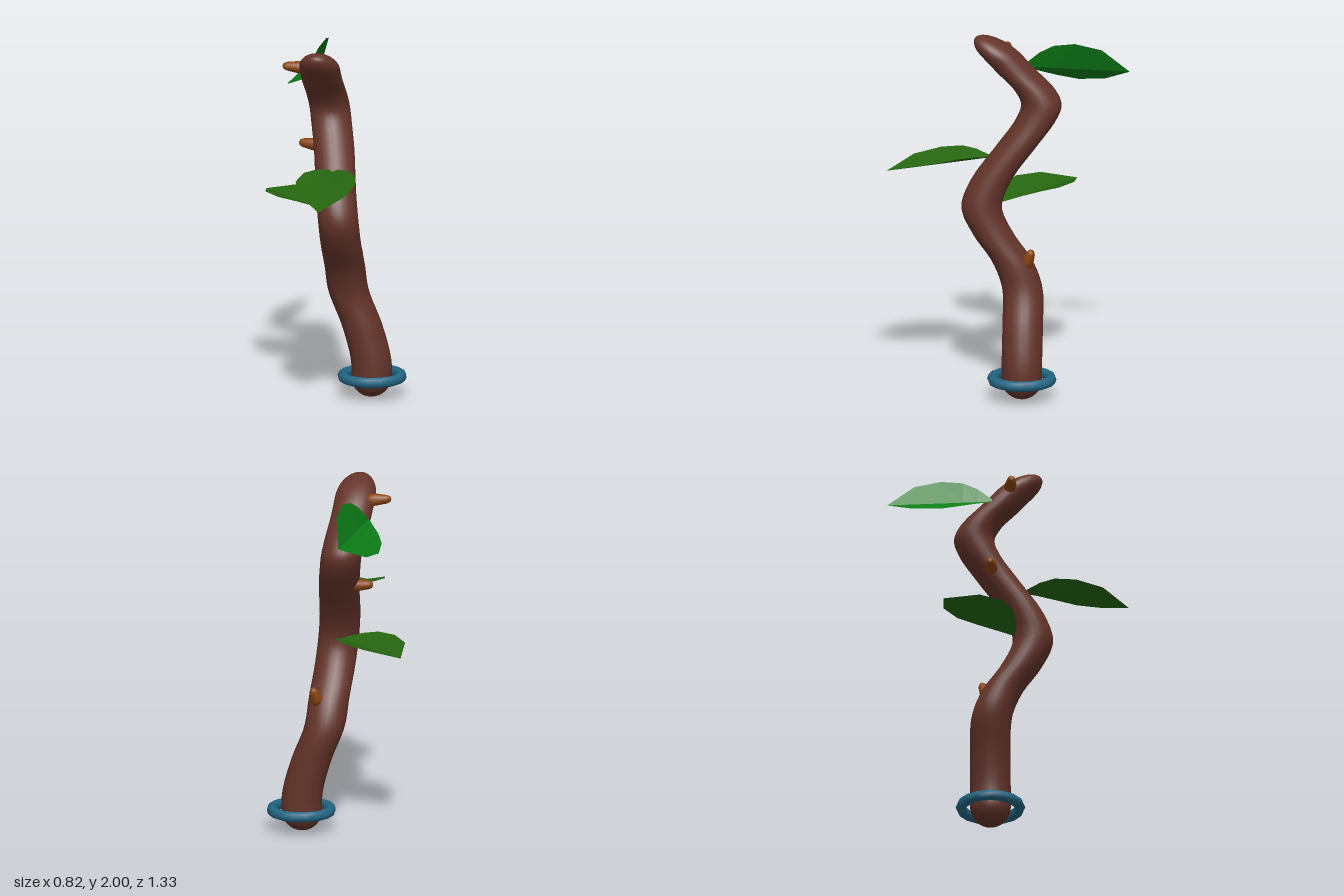
import * as THREE from 'three';
import { mergeVertices } from 'three/addons/utils/BufferGeometryUtils.js';

const V = (x, y, z) => new THREE.Vector3(x, y, z);

// Merge seams and smooth the normals
function smooth(geo) {
  geo.deleteAttribute('normal');
  geo.deleteAttribute('uv');
  const merged = mergeVertices(geo, 1e-5);
  merged.computeVertexNormals();
  return merged;
}

// Upright round stick with domed ends, its level rings shifted along a winding centre line
function stemGeometry(radius) {
  const curve = new THREE.CatmullRomCurve3([
    V(0.21, 0, -0.1), V(0.21, 0.2, -0.1), V(0.16, 0.4, -0.1), V(0.085, 0.6, -0.092),
    V(0.073, 0.75, -0.035), V(0.066, 0.9, 0.07), V(0.06, 1.05, 0.135), V(0.04, 1.2, 0.085),
    V(0.01, 1.4, -0.06), V(-0.018, 1.53, -0.155), V(-0.034, 1.62, -0.188), V(-0.045, 1.7, -0.15),
    V(-0.055, 1.8, -0.05), V(-0.058, 1.9, 0.045), V(-0.06, 2, 0.14),
  ]);
  const rows = 80, centres = [], profile = [];
  for (let i = 0; i <= rows; i++) {
    const c = curve.getPoint(0.5 - 0.5 * Math.cos((Math.PI * i) / rows));
    const end = Math.max(0, radius - Math.min(c.y, 2 - c.y));
    centres.push(c);
    profile.push(new THREE.Vector2(Math.sqrt(Math.max(0, radius * radius - end * end)), c.y));
  }
  const geo = new THREE.LatheGeometry(profile, 24);
  const pos = geo.attributes.position;
  for (let i = 0; i < pos.count; i++) {
    const c = centres[i % (rows + 1)];
    pos.setX(i, pos.getX(i) + c.x);
    pos.setZ(i, pos.getZ(i) + c.z);
  }
  return smooth(geo);
}

// Leaf folded along its midrib; rows hold distance from base, half width, edge lift
const leafRows = [[0, 0, 0], [0.1, 0.09, 0.035], [0.18, 0.14, 0.05], [0.3, 0.168, 0.05], [0.45, 0.135, 0.04], [0.6, 0, 0]];
function leafGeometry(base, tip, up) {
  const along = tip.clone().sub(base);
  const scale = along.length() / 0.6;
  along.normalize();
  const side = along.clone().cross(up).normalize();
  const lift = side.clone().cross(along);
  const at = ([l, w, h], s) => base.clone()
    .addScaledVector(along, l * scale).addScaledVector(side, w * s).addScaledVector(lift, h * Math.abs(s));
  const points = [];
  for (let i = 0; i < leafRows.length - 1; i++) {
    const a = leafRows[i], b = leafRows[i + 1];
    const ma = at(a, 0), mb = at(b, 0), ra = at(a, 1), rb = at(b, 1), la = at(a, -1), lb = at(b, -1);
    if (b[1] > 0) points.push(ma, rb, mb, ma, mb, lb);
    if (a[1] > 0) {
      if (b[1] > 0) points.push(ma, ra, rb, ma, lb, la);
      else points.push(ma, ra, mb, ma, mb, la);
    }
  }
  const geo = new THREE.BufferGeometry().setFromPoints(points);
  geo.computeVertexNormals();
  return geo;
}

// Tapered stub with a rounded tip
function thornGeometry(length) {
  const profile = [[0, 0], [0.036, 0], [0.034, 0.3], [0.024, 0.8], [0.016, 0.95], [0, 1]]
    .map(([r, y]) => new THREE.Vector2(r, y * length));
  return smooth(new THREE.LatheGeometry(profile, 10));
}

export function createModel() {
  const material = (name, color, options = {}) => {
    const m = new THREE.MeshStandardMaterial({ color, ...options });
    m.name = name;
    return m;
  };
  const bark = material('bark', 0x64342a);
  const thornBrown = material('thornBrown', 0x8a4510);
  const ringBlue = material('ringBlue', 0x226684);
  const leafSide = { side: THREE.DoubleSide, flatShading: true };
  const leafGreen = material('leafGreen', 0x266610, leafSide);
  const brightGreen = material('brightGreen', 0x0d7c17, leafSide);

  const model = new THREE.Group();
  model.name = 'windingStick';
  const add = (name, geo, mat) => {
    const mesh = new THREE.Mesh(geo, mat);
    mesh.name = name;
    model.add(mesh);
    return mesh;
  };

  add('stem', stemGeometry(0.112), bark);

  // Loose ring round the foot
  const ring = add('ring', new THREE.TorusGeometry(0.162, 0.03, 8, 16), ringBlue);
  ring.rotation.x = Math.PI / 2;
  ring.position.set(0.215, 0.115, -0.1);

  // Leaves
  add('frontLeaf', leafGeometry(V(0.025, 1.33, 0.07), V(0.025, 1.235, 0.665), V(0, 1, 0)), leafGreen);
  add('sideLeaf', leafGeometry(V(0.035, 1.07, 0.04), V(-0.41, 1.095, -0.355), V(0, 1, 0)), leafGreen);
  add('topLeaf', leafGeometry(V(-0.16, 1.8, -0.07), V(-0.133, 1.79, -0.668), V(-0.78, 0.63, 0)), brightGreen);

  // Thorns, each from a base inside the stem to its tip
  const thorns = [
    ['topThorn', V(-0.14, 1.885, 0.01), V(-0.267, 1.895, 0.02)],
    ['middleThorn', V(-0.08, 1.422, -0.09), V(-0.192, 1.432, -0.1)],
    ['lowerThorn', V(0.115, 0.74, -0.115), V(0.14, 0.83, -0.15)],
  ];
  for (const [name, base, tip] of thorns) {
    const dir = tip.clone().sub(base);
    const thorn = add(name, thornGeometry(dir.length()), thornBrown);
    thorn.position.copy(base);
    thorn.quaternion.setFromUnitVectors(V(0, 1, 0), dir.normalize());
  }
  return model;
}
